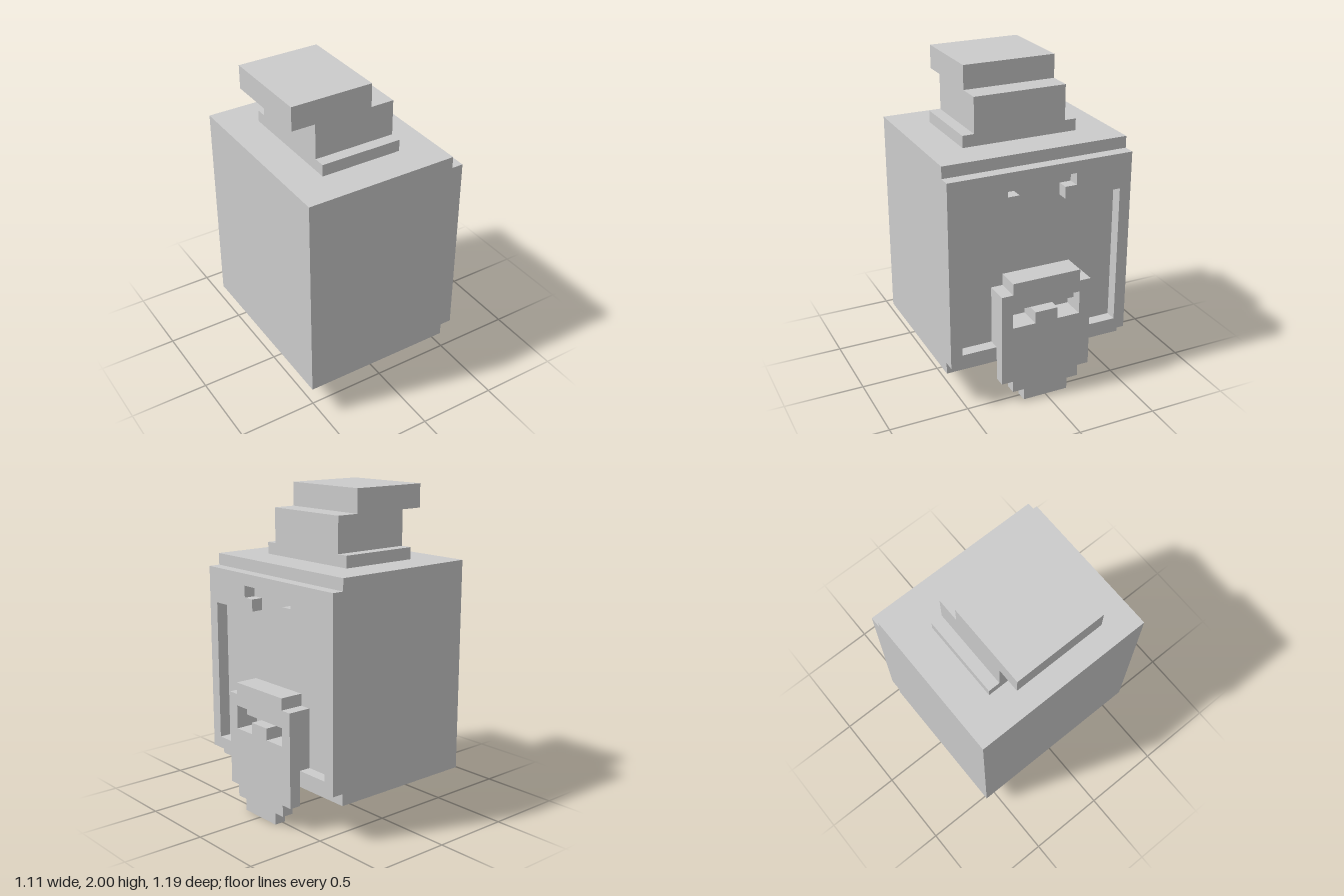
import * as THREE from 'three';

// All sizes are in blocks; the model is 27 blocks tall.
const UNIT = 2 / 27;
const material = new THREE.MeshStandardMaterial({ color: 0xcccccc, flatShading: true });

// Block between two limits in x and y, centred on z
function block(name, x0, x1, y0, y1, halfZ) {
  const mesh = new THREE.Mesh(new THREE.BoxGeometry(x1 - x0, y1 - y0, 2 * halfZ), material);
  mesh.position.set((x0 + x1) / 2, (y0 + y1) / 2, 0);
  mesh.name = name;
  return mesh;
}

// Mirror one half of an outline, [z, y] from bottom to top, across the centre
function mirrored(half) {
  const other = half.map(([z, y]) => [-z, y]).reverse();
  return [...half, ...other].map(([z, y]) => new THREE.Vector2(z, y));
}

function rect(z0, z1, y0, y1) {
  return [[z0, y0], [z1, y0], [z1, y1], [z0, y1]].map(([z, y]) => new THREE.Vector2(z, y));
}

// One-block-thick plate facing +x, with cut-outs
function plate(name, x, outline, holes) {
  const shape = new THREE.Shape(outline);
  holes.forEach((h) => shape.holes.push(new THREE.Path(h)));
  const geometry = new THREE.ExtrudeGeometry(shape, { depth: 1, bevelEnabled: false });
  geometry.rotateY(Math.PI / 2);
  const mesh = new THREE.Mesh(geometry, material);
  mesh.position.x = x;
  mesh.name = name;
  return mesh;
}

export function createModel() {
  const model = new THREE.Group();
  model.name = 'blockJar';

  // Main body
  model.add(block('body', -7.5, 5.5, 3, 21, 8));

  // Raised frame around a bottle-shaped recess
  const recess = mirrored([[7, 5], [7, 17], [2, 17], [2, 18], [3, 18], [3, 19]]);
  model.add(plate('frame', 5.5, rect(-8, 8, 4, 20), [recess]));

  // Stepped neck and offset stopper
  model.add(block('neckCollar', -4.5, 2.5, 21, 22, 5));
  model.add(block('neck', -4.5, 2.5, 22, 25, 4));
  model.add(block('stopper', -6.5, 0.5, 25, 27, 4));

  // Mask: inner layer with two deep eyes
  const mask = new THREE.Group();
  mask.name = 'mask';
  const inner = mirrored([[4, 5], [4, 10], [3, 10], [3, 11]]);
  const eyes = [rect(1, 3, 7, 8), rect(-3, -1, 7, 8)];
  mask.add(plate('maskInner', 5.5, inner, eyes));

  // Mask: outer layer with brow slot and stepped chin
  const outer = mirrored([[2, 0], [2, 1], [3, 1], [3, 2], [4, 2], [4, 10], [3, 10], [3, 11]]);
  const brow = mirrored([[1, 8], [1, 7], [3, 7], [3, 9]]);
  mask.add(plate('maskOuter', 6.5, outer, [brow]));
  model.add(mask);

  model.scale.setScalar(UNIT);
  const root = new THREE.Group();
  root.add(model);
  return root;
}
